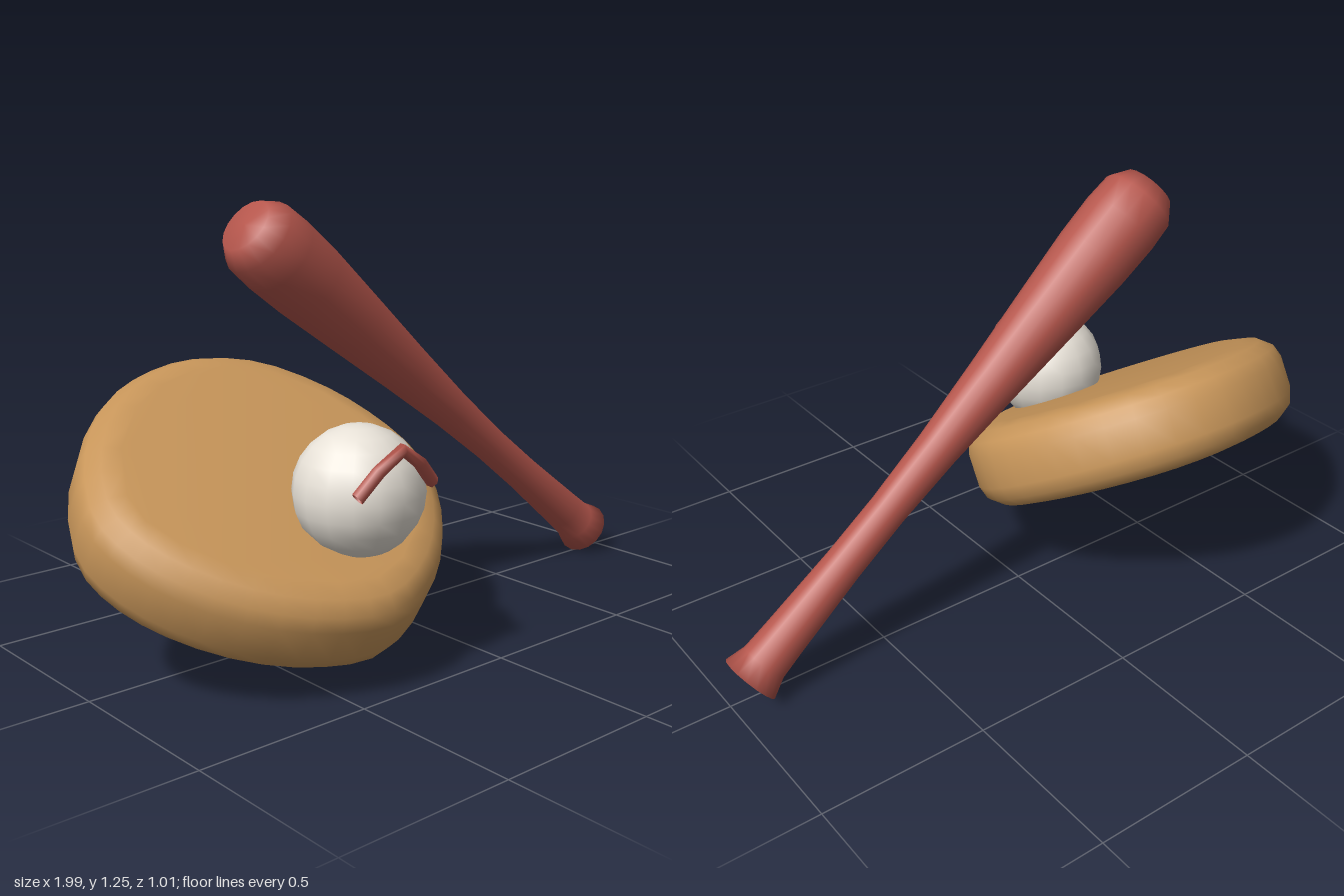
import * as THREE from 'three';
import { toCreasedNormals } from 'three/addons/utils/BufferGeometryUtils.js';

const material = (color) => new THREE.MeshStandardMaterial({ color, side: THREE.DoubleSide });
const v2 = (p) => new THREE.Vector2(p[0], p[1]);

function addMesh(parent, name, geometry, mat) {
  const mesh = new THREE.Mesh(geometry, mat);
  mesh.name = name;
  parent.add(mesh);
  return mesh;
}

export function createModel() {
  const model = new THREE.Group();
  model.name = 'batGloveAndBall';
  const leather = material(0xc8965a);
  const red = material(0xb5564c);
  const white = material(0xe8e2d8);

  // Glove: a thick, rounded pad lying tilted back
  const outline = [
    [-0.38, 0.755], [-0.18, 0.70], [-0.02, 0.545], [0.065, 0.38], [0.1, 0.21],
    [0.06, 0.05], [-0.05, -0.12], [-0.2, -0.25], [-0.38, -0.325], [-0.56, -0.30],
    [-0.74, -0.215], [-0.89, -0.08], [-0.975, 0.06], [-1, 0.21], [-0.91, 0.44],
    [-0.74, 0.63], [-0.57, 0.72],
  ];
  const edge = new THREE.CatmullRomCurve3(
    outline.map(([x, y]) => new THREE.Vector3(x, y, 0)), true);
  const pad = new THREE.Shape(edge.getPoints(40).slice(0, -1).map((p) => new THREE.Vector2(p.x, p.y)));
  const padGeometry = new THREE.ExtrudeGeometry(pad, {
    depth: 0.1, bevelEnabled: true, bevelThickness: 0.08, bevelSize: 0.1,
    bevelOffset: -0.1, bevelSegments: 3,
  });
  padGeometry.translate(0, 0, 0.318);
  const glove = addMesh(model, 'glove', toCreasedNormals(padGeometry, 0.8), leather);
  glove.rotation.x = -Math.PI / 3;

  // Ball resting on the glove
  const ball = addMesh(model, 'ball', new THREE.SphereGeometry(0.178, 16, 12), white);
  ball.position.set(-0.36, 0.515, 0.318);

  // Stitch: a bent cord in front of the ball
  const stitchPath = new THREE.CatmullRomCurve3([
    new THREE.Vector3(-0.488, 0.545, 0.462),
    new THREE.Vector3(-0.36, 0.655, 0.488),
    new THREE.Vector3(-0.232, 0.545, 0.462),
  ]);
  addMesh(model, 'stitch', new THREE.TubeGeometry(stitchPath, 4, 0.018, 6), red);

  // Bat: turned profile from knob to barrel tip (radius, length)
  const profile = [
    [0, 0], [0.087, 0], [0.069, 0.06], [0.065, 0.14], [0.056, 0.4], [0.055, 0.6],
    [0.063, 0.82], [0.08, 1.07], [0.1, 1.32], [0.116, 1.53], [0.12, 1.66],
    [0.115, 1.745], [0.08, 1.797], [0, 1.8],
  ];
  const bat = addMesh(model, 'bat', new THREE.LatheGeometry(profile.map(v2), 16), red);
  bat.position.set(0.935, 0.073, -0.006);
  bat.rotation.z = 0.9;

  return model;
}
